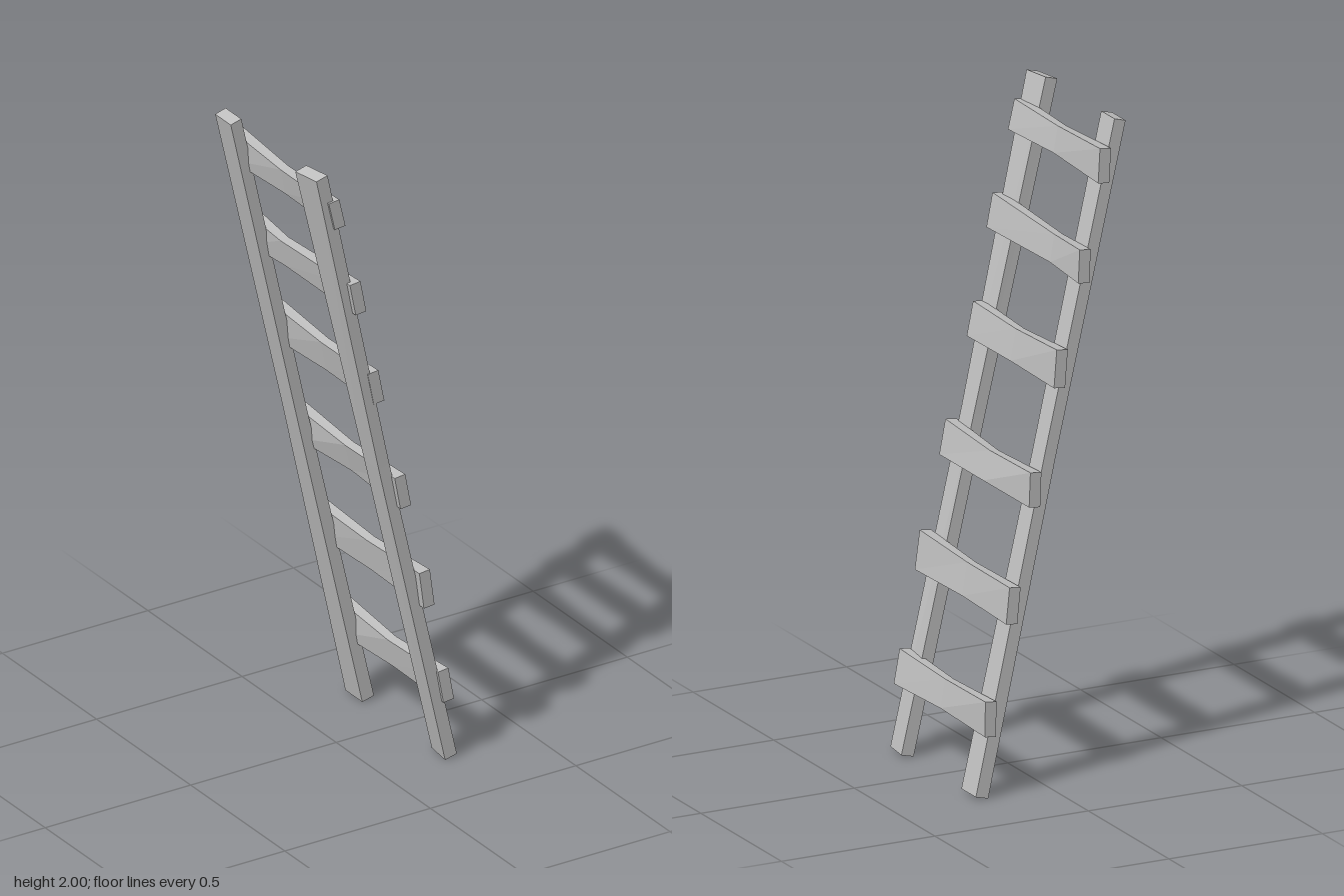
import * as THREE from 'three';

const wood = new THREE.MeshStandardMaterial({ color: 0xbfbfbf });
wood.name = 'greyWood';

// Box with three cross-sections along one axis; place(v) moves each corner.
function plank(name, segments, place) {
  const box = new THREE.BoxGeometry(2, 2, 2, ...segments);
  const p = box.attributes.position;
  const v = new THREE.Vector3();
  for (let i = 0; i < p.count; i++) {
    place(v.fromBufferAttribute(p, i).round());
    p.setXYZ(i, v.x, v.y, v.z);
  }
  const geometry = box.toNonIndexed();
  geometry.computeVertexNormals();
  const mesh = new THREE.Mesh(geometry, wood);
  mesh.name = name;
  return mesh;
}

// Sections from bottom to top: [y, back x at low z, back x at high z, low z, high z, thickness]
const rails = {
  leftRail: [
    [0.0, 0.213, 0.203, 0.178, 0.265, 0.04],
    [1.0, -0.022, -0.022, 0.183, 0.26, 0.036],
    [1.99, -0.252, -0.236, 0.172, 0.26, 0.038],
  ],
  rightRail: [
    [0.0, 0.203, 0.203, -0.265, -0.175, 0.04],
    [1.0, -0.022, -0.022, -0.255, -0.182, 0.036],
    [1.99, -0.247, -0.247, -0.261, -0.178, 0.036],
  ],
};

// Three values each, from the right (-z) end through the middle to the left (+z) end
const rungs = [
  { z: [-0.283, 0, 0.267], top: [1.925, 1.91, 1.915], bottom: [1.82, 1.83, 1.825],
    back: [-0.188, -0.191, -0.198], front: [-0.146, -0.149, -0.141] },
  { z: [-0.285, -0.1, 0.277], top: [1.628, 1.62, 1.637], bottom: [1.527, 1.537, 1.535],
    back: [-0.121, -0.127, -0.132], front: [-0.08, -0.085, -0.076] },
  { z: [-0.27, 0, 0.262], top: [1.33, 1.315, 1.323], bottom: [1.215, 1.22, 1.22],
    back: [-0.054, -0.054, -0.061], front: [-0.009, -0.008, -0.004] },
  { z: [-0.27, 0, 0.28], top: [0.97, 0.958, 0.972], bottom: [0.865, 0.87, 0.867],
    back: [0.032, 0.03, 0.02], front: [0.072, 0.08, 0.076] },
  { z: [-0.28, 0, 0.287], top: [0.635, 0.63, 0.645], bottom: [0.525, 0.53, 0.527],
    back: [0.105, 0.104, 0.1], front: [0.152, 0.148, 0.152] },
  { z: [-0.28, 0, 0.273], top: [0.3, 0.287, 0.3], bottom: [0.193, 0.2, 0.196],
    back: [0.184, 0.177, 0.173], front: [0.221, 0.22, 0.228] },
];

export function createModel() {
  const ladder = new THREE.Group();
  ladder.name = 'ladder';

  // Two leaning side rails, cut square to their length
  for (const [name, sections] of Object.entries(rails)) {
    ladder.add(plank(name, [1, 2, 1], (v) => {
      const [y, lowX, highX, lowZ, highZ, thick] = sections[v.y + 1];
      const front = v.x > 0 ? 1 : 0;
      const high = v.z > 0;
      v.set((high ? highX : lowX) + front * thick, y + front * 0.01, high ? highZ : lowZ);
    }));
  }

  // Rough planks nailed across the front of the rails, thinner in the middle
  rungs.forEach((rung, n) => {
    ladder.add(plank(`rung${n + 1}`, [1, 1, 2], (v) => {
      const i = v.z + 1;
      const thick = i === 1 ? 0.028 : 0.036;
      const isTop = v.y > 0;
      const back = isTop ? rung.back[i] : rung.front[i] - thick;
      const front = v.x > 0;
      v.set(back + (front ? thick : 0),
        (isTop ? rung.top : rung.bottom)[i] - (front ? 0 : 0.004), rung.z[i]);
    }));
  });
  return ladder;
}
